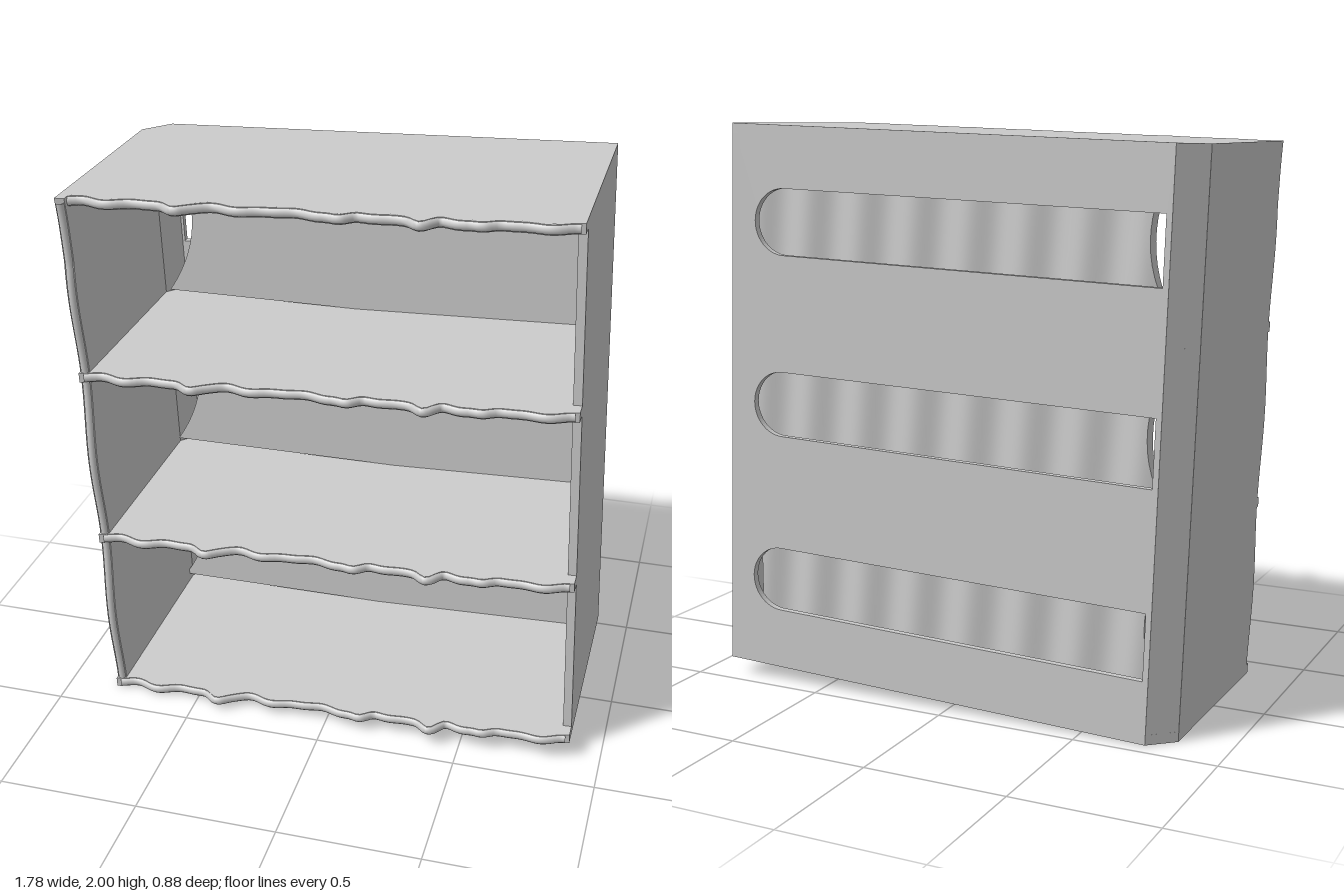
import * as THREE from 'three';

const W = 0.855, H = 0.97, BACK = -0.45, T = 0.035, CH = 0.085; // half width, half height, back, wall, chamfer
const TILT = 0.036;
const mat = new THREE.MeshStandardMaterial({ color: 0xcccccc, side: THREE.DoubleSide });

// Irregular dripping front edge of the boards, with four longer drips
function frontZ(x) {
  let z = 0.378 + 0.009 * Math.sin(x * 27 + 1) + 0.006 * Math.sin(x * 43);
  for (const [c, d] of [[0.36, 0.05], [0.1, 0.035], [-0.45, 0.03], [0.55, 0.025]])
    z += d * Math.exp(-(((x - c) / 0.035) ** 2));
  return z;
}
// Gentle wave on the front edge of the left wall
function sideZ(y) {
  return 0.38 + 0.012 * Math.cos(y * 9.8) + 0.035 * Math.max(0, (y - 0.75) / 0.22);
}

function add(parent, geometry, name) {
  const mesh = new THREE.Mesh(geometry, mat);
  mesh.name = name;
  parent.add(mesh);
  return mesh;
}
function bead(points, radius) {
  return new THREE.TubeGeometry(new THREE.CatmullRomCurve3(points), points.length * 2, radius, 8);
}

// Horizontal board with a chamfered back corner and a rounded wavy lip
function addBoard(parent, y, name) {
  const shape = new THREE.Shape();
  shape.moveTo(-W, BACK + CH);
  shape.lineTo(-W + CH, BACK);
  shape.lineTo(W, BACK);
  shape.lineTo(W, 0.36);
  const lip = [];
  for (let i = 0; i <= 100; i++) {
    const x = W - 0.015 - (2 * W - 0.03) * i / 100;
    shape.lineTo(x, frontZ(x));
    lip.push(new THREE.Vector3(x, y, frontZ(x) - 0.008));
  }
  shape.lineTo(-W, frontZ(-W));
  const g = new THREE.ExtrudeGeometry(shape, { depth: T, bevelEnabled: false });
  g.rotateX(Math.PI / 2).translate(0, y + T / 2, 0);
  add(parent, g, name);
  add(parent, bead(lip, 0.018), name + 'Lip');
}

function addLeftSideWall(parent) {
  const shape = new THREE.Shape();
  shape.moveTo(BACK + CH, -H);
  const lip = [];
  for (let i = 0; i <= 60; i++) {
    const y = -H + 2 * H * i / 60;
    shape.lineTo(sideZ(y), y);
    lip.push(new THREE.Vector3(-W + T / 2, y * 0.985, sideZ(y) - 0.005));
  }
  shape.lineTo(BACK + CH, H);
  const g = new THREE.ExtrudeGeometry(shape, { depth: T, bevelEnabled: false });
  g.rotateY(-Math.PI / 2).translate(-W + T, 0, 0);
  add(parent, g, 'waveEdgedWall');
  add(parent, bead(lip, 0.016), 'waveEdgedWallLip');
}

// Back plate with one slot per compartment, round at +x and square at -x
function addBackPlate(parent) {
  const shape = new THREE.Shape();
  shape.moveTo(-W + CH, -H);
  shape.lineTo(W, -H);
  shape.lineTo(W, H);
  shape.lineTo(-W + CH, H);
  const r = 0.115;
  for (const c of [-0.64, 0, 0.64]) {
    const slot = new THREE.Path();
    slot.moveTo(-0.75, c - r);
    slot.lineTo(-0.75, c + r);
    slot.lineTo(0.76 - r, c + r);
    slot.absarc(0.76 - r, c, r, Math.PI / 2, -Math.PI / 2, true);
    slot.lineTo(-0.75, c - r);
    shape.holes.push(slot);
  }
  const g = new THREE.ExtrudeGeometry(shape, { depth: 0.025, bevelEnabled: false, curveSegments: 16 });
  add(parent, g.translate(0, 0, BACK), 'slottedBackPlate');
}

// Upright inner panel: smooth in front, rippled behind, with a scooped end at -x
function innerPanel(y0, y1) {
  const g = new THREE.BoxGeometry(1, 1, 0.03, 90, 16, 1);
  const p = g.attributes.position;
  for (let i = 0; i < p.count; i++) {
    const u = p.getX(i) + 0.5, v = p.getY(i) * 2, back = p.getZ(i) < 0;
    const left = -0.8 + 0.1 * (1 - v * v);
    const x = left + u * (0.79 - left);
    const ripple = back ? 0.012 * Math.sin(x * 30 + v * 0.8) - 0.012 : 0;
    p.setXYZ(i, x, (y0 + y1) / 2 + v * (y1 - y0) / 2, -0.345 + p.getZ(i) + ripple);
  }
  g.computeVertexNormals();
  return g;
}

export function createModel() {
  const model = new THREE.Group();
  model.name = 'compartmentRack';

  // Outer case, leaning slightly
  const shell = new THREE.Group();
  shell.name = 'case';
  shell.position.y = 1;
  shell.rotation.z = TILT;
  model.add(shell);

  const boards = { bottomBoard: -H + T / 2, lowerShelf: -0.32, upperShelf: 0.32, topBoard: H - T / 2 };
  for (const name in boards) addBoard(shell, boards[name], name);
  addLeftSideWall(shell);
  addBackPlate(shell);

  // Straight wall, set back from the lips
  const wall = new THREE.BoxGeometry(0.03, 2 * H, 0.31 - BACK);
  add(shell, wall.translate(W - 0.015, 0, (0.31 + BACK) / 2), 'straightWall');

  // Chamfered rear corner
  const corner = add(shell, new THREE.BoxGeometry(CH * Math.SQRT2, 2 * H, 0.025), 'chamferedCorner');
  corner.rotation.y = Math.PI / 4;
  corner.position.set(-W + CH / 2 + 0.009, 0, BACK + CH / 2 + 0.009);

  // Upright inner panels
  for (const [y0, y1] of [[0.065, 0.665], [0.7, 1.3], [1.335, 1.93]])
    add(model, innerPanel(y0, y1), 'innerPanel');

  return model;
}
